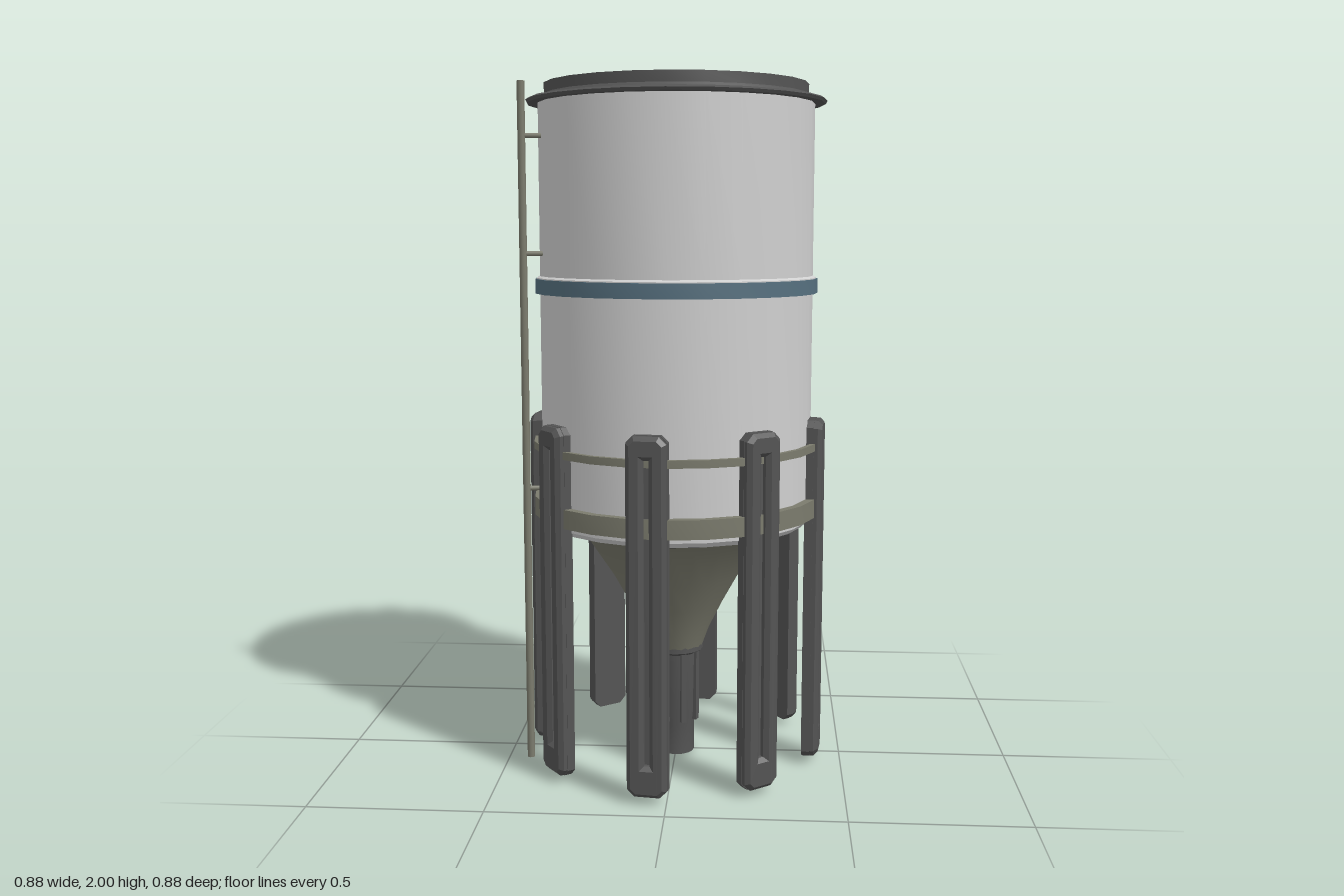
import * as THREE from 'three';
import { toCreasedNormals } from 'three/addons/utils/BufferGeometryUtils.js';

const SIDES = 24;

function material(name, color) {
  const m = new THREE.MeshStandardMaterial({ color, side: THREE.DoubleSide });
  m.name = name;
  return m;
}

export function createModel() {
  const lightGrey = material('light grey', 0xcfcfcf);
  const darkGrey = material('dark grey', 0x545454);
  const olive = material('olive grey', 0x7b7b6d);
  const blue = material('steel blue', 0x56707f);

  const model = new THREE.Group();
  model.name = 'silo';

  const add = (name, geometry, mat, parent = model) => {
    const mesh = new THREE.Mesh(geometry, mat);
    mesh.name = name;
    parent.add(mesh);
    return mesh;
  };
  // Turned part from [radius, height] pairs, with sharp profile corners
  const turned = (name, profile, mat, sides = SIDES) => {
    const points = profile.map(([r, y]) => new THREE.Vector2(r, y));
    return add(name, toCreasedNormals(new THREE.LatheGeometry(points, sides), 0.5), mat);
  };
  const hoop = (name, inner, outer, bottom, top, mat) => turned(name,
    [[inner, bottom], [outer, bottom], [outer, top], [inner, top], [inner, bottom]], mat);

  // Tank wall with a rolled-in bottom edge and a ledge at mid height
  turned('tank', [[0.315, 0.725], [0.385, 0.725], [0.4, 0.74], [0.4, 1.41],
    [0.41, 1.415], [0.41, 1.45], [0.4, 1.455], [0.4, 1.95]], lightGrey);
  hoop('blueBand', 0.4, 0.414, 1.405, 1.447, blue);

  // Lid: sloped flange, raised rim, stepped recess and open centre
  turned('lid', [[0.398, 1.944], [0.43, 1.944], [0.435, 1.952], [0.425, 1.958],
    [0.39, 1.962], [0.382, 1.97], [0.382, 2], [0.32, 2], [0.32, 1.97],
    [0.295, 1.965], [0.295, 1.89], [0.118, 1.89]], darkGrey);

  // Discharge funnel below the tank
  turned('funnelCollar', [[0.325, 0.725], [0.325, 0.712], [0.305, 0.705]], darkGrey);
  turned('funnel', [[0.08, 0.335], [0.1, 0.39], [0.14, 0.47], [0.19, 0.56],
    [0.27, 0.68], [0.315, 0.715]], olive);

  // Outlet pipe, open from end to end
  turned('outletPipe', [[0.05, 0.345], [0.082, 0.345], [0.082, 0.325], [0.066, 0.315],
    [0.062, 0.12], [0.055, 0.085], [0.055, 0], [0.05, 0], [0.05, 0.345]], darkGrey, 16);
  const ribs = new THREE.Group();
  ribs.name = 'outletRibs';
  model.add(ribs);
  for (let i = 0; i < 8; i++) {
    const a = (i + 0.5) * Math.PI / 4;
    const rib = add('outletRib', new THREE.BoxGeometry(0.016, 0.22, 0.016), darkGrey, ribs);
    rib.position.set(Math.sin(a) * 0.064, 0.215, Math.cos(a) * 0.064);
    rib.rotation.y = a;
  }

  // Hoops tying the legs together
  hoop('lowerHoop', 0.4, 0.424, 0.755, 0.81, olive);
  hoop('upperHoop', 0.41, 0.424, 0.952, 0.974, olive);

  // Chamfered upright outline, shared by the leg back and the slotted leg front
  const outline = (w, bottom, top, c) => new THREE.Shape([
    [-w + c, bottom], [w - c, bottom], [w, bottom + c], [w, top - c],
    [w - c, top], [-w + c, top], [-w, top - c], [-w, bottom + c],
  ].map(([x, y]) => new THREE.Vector2(x, y)));

  const backGeometry = new THREE.ExtrudeGeometry(outline(0.058, 0.02, 1.04, 0.02),
    { depth: 0.024, bevelEnabled: false });
  backGeometry.translate(0, 0, 0.392);

  const face = outline(0.045, 0.033, 1.027, 0.014);
  const slot = [[-0.02, 0.1], [-0.02, 0.985], [0.02, 0.985], [0.02, 0.1]];
  face.holes.push(new THREE.Path(slot.map(([x, y]) => new THREE.Vector2(x, y))));
  const frontGeometry = new THREE.ExtrudeGeometry(face,
    { depth: 0.012, bevelThickness: 0.012, bevelSize: 0.012, bevelSegments: 1 });
  frontGeometry.translate(0, 0, 0.416);

  // Eight legs around the tank
  for (let i = 0; i < 8; i++) {
    const leg = new THREE.Group();
    leg.name = 'leg';
    leg.rotation.y = THREE.MathUtils.degToRad(-7.3 + i * 45);
    add('legBack', backGeometry, darkGrey, leg);
    add('legFront', frontGeometry, darkGrey, leg);
    model.add(leg);
  }

  // Riser pipe on the right side, held by small brackets
  const riser = add('riserPipe', new THREE.CylinderGeometry(0.011, 0.011, 1.98, 10), olive);
  riser.position.set(-0.427, 1.01, 0.146);
  for (const y of [0.84, 1.52, 1.85]) {
    const path = new THREE.LineCurve3(new THREE.Vector3(-0.427, y, 0.146),
      new THREE.Vector3(-0.365, y, 0.13));
    add('riserBracket', new THREE.TubeGeometry(path, 1, 0.007, 8), olive);
  }

  return model;
}
